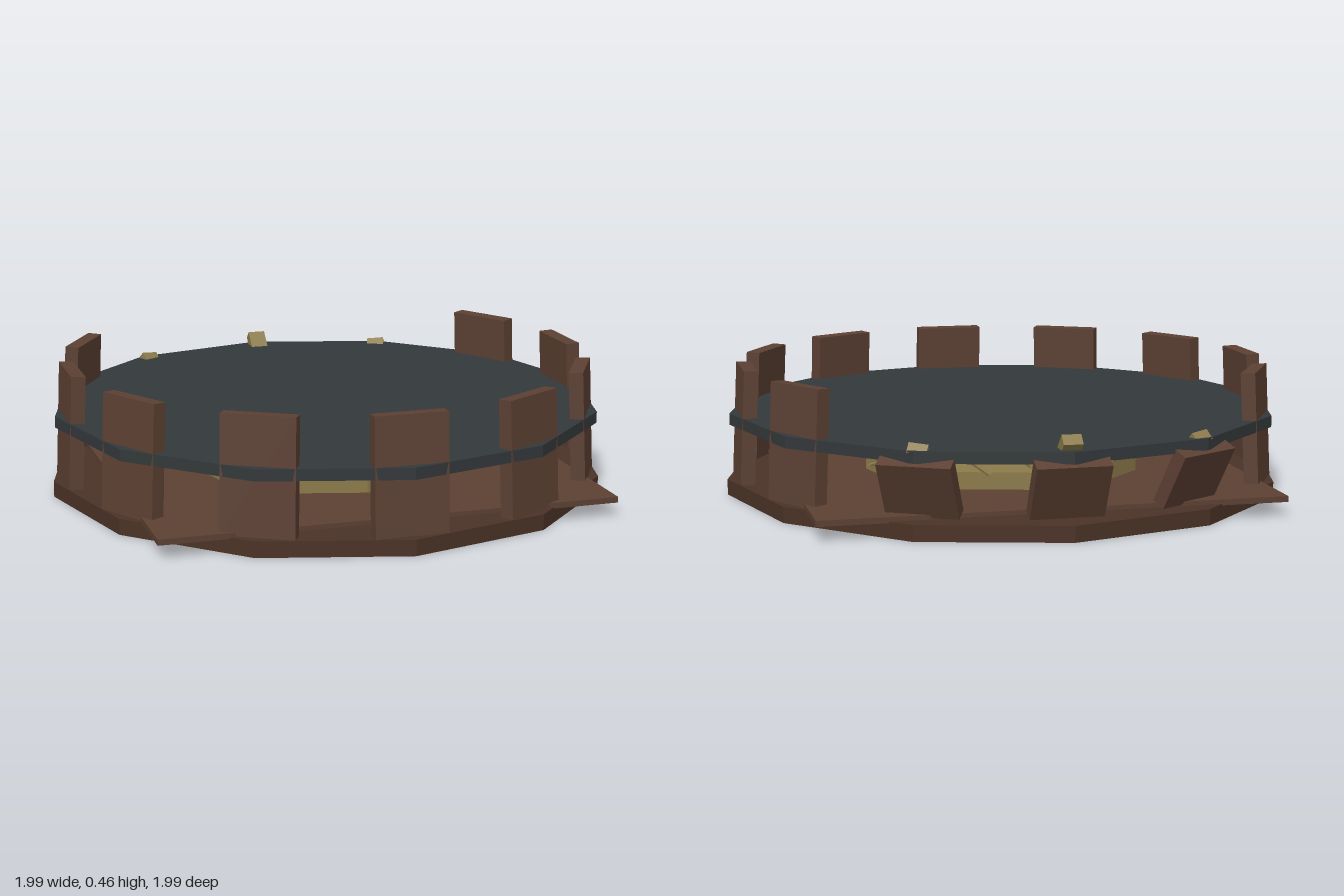
import * as THREE from 'three';

const mat = (color) => new THREE.MeshStandardMaterial({ color, flatShading: true });

export function createModel() {
  const model = new THREE.Group();
  const wood = mat(0x5c4033);
  const darkWood = mat(0x4a3226);
  const iron = mat(0x33383a);
  const straw = mat(0x8b7a4a);

  const add = (parent, name, geometry, material, x = 0, y = 0, z = 0) => {
    const mesh = new THREE.Mesh(geometry, material);
    mesh.name = name;
    mesh.position.set(x, y, z);
    parent.add(mesh);
    return mesh;
  };

  // Twelve-sided base, square floor and solid iron hoop
  add(model, 'base', new THREE.CylinderGeometry(0.995, 0.995, 0.055, 12), darkWood, 0, 0.0275);
  add(model, 'floorBoard', new THREE.BoxGeometry(1.595, 0.02, 1.595), wood, 0, 0.06);
  add(model, 'hoop', new THREE.CylinderGeometry(0.983, 0.983, 0.04, 12), iron, 0, 0.27);

  // Straw bed with loose stalks lying on top
  add(model, 'strawBed', new THREE.CylinderGeometry(0.5, 0.5, 0.06, 12), straw, 0, 0.1);
  const stalk = new THREE.BoxGeometry(0.3, 0.008, 0.015);
  for (let i = 0; i < 16; i++) {
    const a = (i * Math.PI) / 8;
    const pivot = new THREE.Group();
    pivot.name = 'stalkPivot';
    pivot.rotation.y = a;
    model.add(pivot);
    const s = add(pivot, 'strawStalk', stalk, straw, 0.36 + 0.1 * (i % 2), 0.138, 0);
    s.rotation.set(0, 0.5 * Math.sin(i * 2.4), 0.09 * Math.cos(i * 1.7));
  }

  // Ring of staves: nine whole ones leaning in, three broken ones at the back falling out
  const wholeStave = new THREE.BoxGeometry(0.25, 0.4, 0.05);
  const brokenStave = new THREE.BoxGeometry(0.25, 0.205, 0.05);
  const splinter = new THREE.BoxGeometry(0.065, 0.075, 0.04);
  for (let i = 0; i < 12; i++) {
    const holder = new THREE.Group();
    holder.name = 'staveHolder';
    holder.rotation.y = (i * Math.PI) / 6;
    model.add(holder);
    if (i < 5 || i > 7) {
      add(holder, 'stave', wholeStave, wood, 0, 0.255, 0.927).rotation.x = -0.05;
    } else {
      add(holder, 'brokenStave', brokenStave, wood, 0, 0.162, 0.925).rotation.x = 0.47;
      const chip = add(holder, 'splinter', splinter, straw, 0, i === 6 ? 0.3 : 0.27, i === 6 ? 0.93 : 0.935);
      chip.rotation.set(0.8, 0, 0.15 * (i - 6));
    }
  }
  return model;
}
